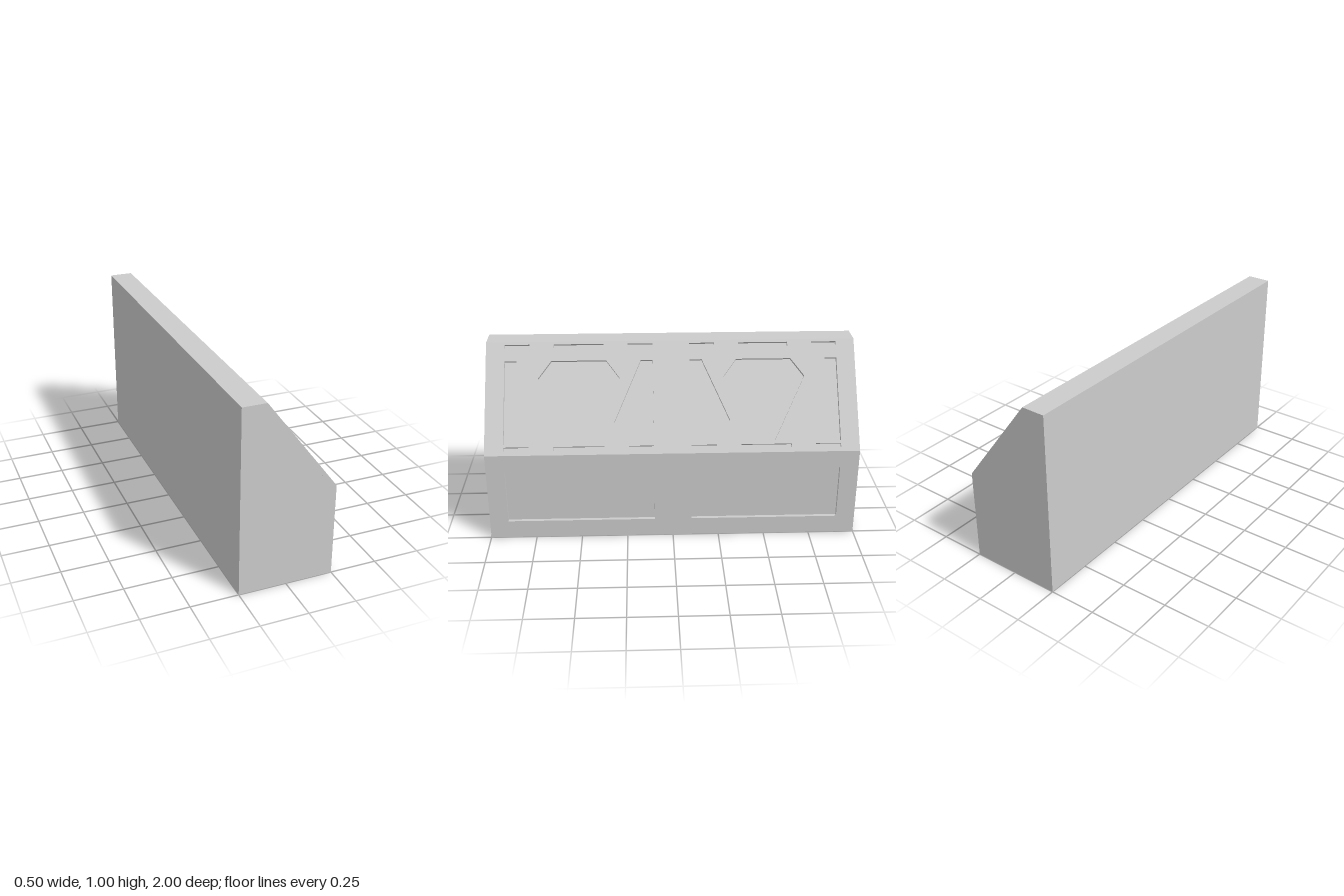
import * as THREE from 'three';

const DEPTH = 0.02; // recess depth

const material = new THREE.MeshStandardMaterial({ color: 0xcccccc });

function polygon(points) {
  return points.map(([u, v]) => new THREE.Vector2(u, v));
}

function rect(u0, u1, v0, v1) {
  return [[u0, v0], [u1, v0], [u1, v1], [u0, v1]];
}

const mirrored = (points) => points.map(([u, v]) => [-u, v]);

// A 2-unit-wide plate with the same cut-outs in each of its two bays.
// Local x runs along -z, local y along 'up', and it is thickened outwards.
function plate(name, height, cutouts, up, outward, foot) {
  const shape = new THREE.Shape(polygon(rect(-1, 1, 0, height)));
  for (const bay of [-0.5, 0.5]) {
    for (const cut of cutouts) {
      shape.holes.push(new THREE.Path(polygon(cut.map(([u, v]) => [u + bay, v]))));
    }
  }
  const geometry = new THREE.ExtrudeGeometry(shape, { depth: DEPTH, bevelEnabled: false });
  const frame = new THREE.Matrix4().makeBasis(new THREE.Vector3(0, 0, -1), up, outward);
  frame.setPosition(foot.clone().addScaledVector(outward, -DEPTH));
  geometry.applyMatrix4(frame);
  const mesh = new THREE.Mesh(geometry, material);
  mesh.name = name;
  return mesh;
}

export function createModel() {
  const group = new THREE.Group();
  group.name = 'slopedBarrier';

  // Solid core; its faces form the floors of the recesses
  const section = new THREE.Shape(polygon([
    [-0.25, 0], [0.23, 0], [0.23, 0.4933], [-0.141, 0.988], [-0.125, 1], [-0.25, 1],
  ]));
  const coreGeometry = new THREE.ExtrudeGeometry(section, { depth: 2, bevelEnabled: false });
  coreGeometry.translate(0, 0, -1);
  const core = new THREE.Mesh(coreGeometry, material);
  core.name = 'core';
  group.add(core);

  // Upright lower face with one rectangular panel per bay
  group.add(plate(
    'lowerFace', 0.5, [rect(-0.4, 0.4, 0.1, 0.403)],
    new THREE.Vector3(0, 1, 0), new THREE.Vector3(1, 0, 0), new THREE.Vector3(0.25, 0, 0),
  ));

  // Sloped face: centre pocket, two side pockets and rows of slots per bay
  const centrePocket = [
    [-0.045, 0.06], [0.045, 0.06], [0.22, 0.418], [0.148, 0.517], [-0.148, 0.517], [-0.22, 0.418],
  ];
  const sidePocket = [
    [-0.4, 0.06], [-0.27, 0.06], [-0.19, 0.176], [-0.335, 0.517], [-0.4, 0.517],
  ];
  const cutouts = [centrePocket, sidePocket, mirrored(sidePocket)];
  for (const v of [0.025, 0.59]) {
    for (const [u0, u1] of [[-0.4, -0.265], [-0.135, 0.135], [0.265, 0.4]]) {
      cutouts.push(rect(u0, u1, v, v + 0.02));
    }
  }
  group.add(plate(
    'slopedFace', 0.625, cutouts,
    new THREE.Vector3(-0.6, 0.8, 0), new THREE.Vector3(0.8, 0.6, 0), new THREE.Vector3(0.25, 0.5, 0),
  ));

  return group;
}
